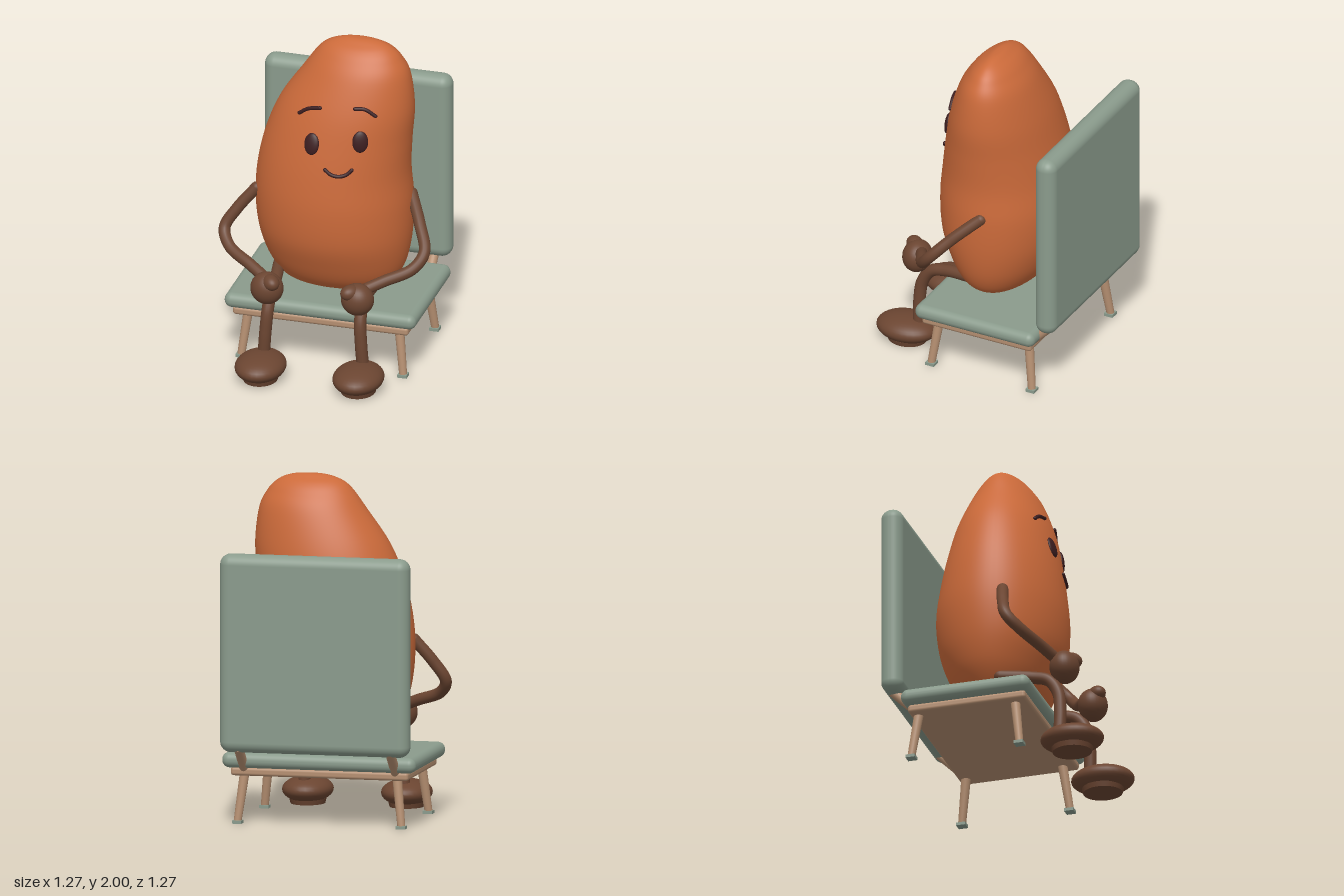
import * as THREE from 'three';
import { RoundedBoxGeometry } from 'three/addons/geometries/RoundedBoxGeometry.js';

const material = (name, color) => {
  const m = new THREE.MeshStandardMaterial({ color });
  m.name = name;
  return m;
};
const V = (x, y, z) => new THREE.Vector3(x, y, z);

// Body sections from top to bottom: y, right side x, left side x, front z, back z
const SECTIONS = [
  [2.0, 0.15, 0.15, -0.08, -0.08],
  [1.997, 0.07, 0.23, -0.05, -0.105],
  [1.98, 0.0, 0.3, -0.015, -0.135],
  [1.95, -0.06, 0.353, 0.03, -0.178],
  [1.9, -0.11, 0.4, 0.075, -0.22],
  [1.8, -0.18, 0.45, 0.137, -0.277],
  [1.6, -0.315, 0.475, 0.215, -0.34],
  [1.4, -0.398, 0.461, 0.265, -0.38],
  [1.2, -0.445, 0.452, 0.3, -0.415],
  [1.0, -0.462, 0.466, 0.317, -0.44],
  [0.8, -0.445, 0.461, 0.3, -0.42],
  [0.64, -0.4, 0.434, 0.24, -0.365],
  [0.53, -0.338, 0.388, 0.178, -0.3],
  [0.47, -0.28, 0.328, 0.11, -0.24],
  [0.43, -0.19, 0.23, 0.02, -0.17],
  [0.413, -0.07, 0.11, -0.045, -0.115],
  [0.41, 0.02, 0.02, -0.08, -0.08],
];
const curveOf = (a, b) => new THREE.CatmullRomCurve3(
  SECTIONS.map((s) => V(s[a], s[0], s[b])), false, 'catmullrom', 0.5);
const frontRight = curveOf(1, 3);
const backLeft = curveOf(2, 4);

// Ellipse of the body at parameter t
function sectionAt(t) {
  const p = frontRight.getPoint(t), q = backLeft.getPoint(t);
  return { y: p.y, cx: (p.x + q.x) / 2, rx: (q.x - p.x) / 2, cz: (p.z + q.z) / 2, rz: (p.z - q.z) / 2 };
}

function bodyGeometry(rows = 96, cols = 72) {
  const pos = [], index = [];
  for (let i = 0; i <= rows; i++) {
    const s = sectionAt(i / rows);
    for (let j = 0; j < cols; j++) {
      const a = (j / cols) * Math.PI * 2;
      pos.push(s.cx + s.rx * Math.cos(a), s.y, s.cz + s.rz * Math.sin(a));
      if (i === rows) continue;
      const k = (j + 1) % cols, r = i * cols, d = r + cols;
      if (i > 0) index.push(r + j, r + k, d + j);
      if (i < rows - 1) index.push(r + k, d + k, d + j);
    }
  }
  const g = new THREE.BufferGeometry();
  g.setAttribute('position', new THREE.Float32BufferAttribute(pos, 3));
  g.setIndex(index);
  g.computeVertexNormals();
  return g;
}

// Point on the front of the body at x, y
function onFace(x, y) {
  let lo = 0, hi = 1;
  for (let i = 0; i < 30; i++) {
    const mid = (lo + hi) / 2;
    if (sectionAt(mid).y > y) lo = mid; else hi = mid;
  }
  const s = sectionAt(lo);
  const u = (x - s.cx) / s.rx;
  return V(x, y, s.cz + s.rz * Math.sqrt(Math.max(0, 1 - u * u)));
}
function faceNormal(x, y) {
  const e = 0.01;
  const dx = onFace(x + e, y).sub(onFace(x - e, y));
  const dy = onFace(x, y + e).sub(onFace(x, y - e));
  return dx.cross(dy).normalize();
}

export function createModel() {
  const skin = material('orange skin', 0xcb6a3a);
  const limb = material('brown limbs', 0x6b4531);
  const dark = material('dark face', 0x3c1e20);
  const cushion = material('sage cushion', 0x8a9b8c);
  const wood = material('tan wood', 0xb58f71);
  const model = new THREE.Group();

  const add = (name, geometry, mat, x = 0, y = 0, z = 0, parent = model) => {
    const m = new THREE.Mesh(geometry, mat);
    m.name = name;
    m.position.set(x, y, z);
    parent.add(m);
    return m;
  };
  const ellipsoid = (name, mat, c, r, parent) => {
    const m = add(name, new THREE.SphereGeometry(1, 32, 20), mat, ...c, parent);
    m.scale.set(...r);
    return m;
  };
  // Round-ended tube through points
  const tube = (name, points, radius, mat, segments = 40) => {
    const g = new THREE.Group();
    g.name = name;
    model.add(g);
    add(name + 'Tube', new THREE.TubeGeometry(new THREE.CatmullRomCurve3(points), segments, radius, 16), mat, 0, 0, 0, g);
    for (const p of [points[0], points[points.length - 1]])
      add(name + 'End', new THREE.SphereGeometry(radius, 16, 12), mat, p.x, p.y, p.z, g);
  };
  // Straight rod between two points
  const rod = (name, from, to, r0, r1, mat) => {
    const d = to.clone().sub(from);
    const m = add(name, new THREE.CylinderGeometry(r1, r0, d.length(), 20), mat);
    m.position.copy(from).addScaledVector(d, 0.5);
    m.quaternion.setFromUnitVectors(V(0, 1, 0), d.normalize());
  };

  // Chair
  add('backrest', new RoundedBoxGeometry(1.125, 1.155, 0.132, 6, 0.062), cushion, -0.002, 1.008, -0.571);
  add('seat', new RoundedBoxGeometry(1.15, 0.09, 0.775, 6, 0.043), cushion, 0, 0.37, -0.122);
  add('seatFrame', new RoundedBoxGeometry(1.055, 0.05, 0.71, 4, 0.018), wood, 0, 0.303, -0.12);
  for (const s of [-1, 1]) {
    for (const [name, topZ, footZ] of [['frontChairLeg', 0.155, 0.19], ['backChairLeg', -0.428, -0.463]]) {
      rod(name, V(s * 0.486, 0.015, footZ), V(s * 0.453, 0.29, topZ), 0.023, 0.028, wood);
      add('legPad', new THREE.BoxGeometry(0.056, 0.018, 0.056), cushion, s * 0.486, 0.009, footZ);
    }
    rod('backSupport', V(s * 0.45, 0.32, -0.45), V(s * 0.45, 0.46, -0.59), 0.028, 0.028, wood);
  }

  // Body
  add('body', bodyGeometry(), skin);

  // Arms, hands, legs and feet
  for (const s of [-1, 1]) {
    const shoulder = s > 0 ? V(0.45, 1.03, -0.11) : V(-0.43, 1.03, 0.07);
    const upper = s > 0 ? V(0.54, 0.905, 0.03) : V(-0.535, 0.9, 0.105);
    tube('arm', [shoulder, upper, V(s * 0.6, 0.785, 0.145), V(s * 0.55, 0.705, 0.215),
      V(s * 0.4, 0.645, 0.3), V(s * 0.28, 0.595, 0.365)], 0.034, limb, 60);
    ellipsoid('hand', limb, [s * 0.272, 0.557, 0.395], [0.097, 0.097, 0.086]);
    const thumb = ellipsoid('thumb', limb, [s * 0.24, 0.61, 0.428], [0.048, 0.046, 0.064]);
    thumb.rotation.y = -s * 0.7;

    tube('leg', [V(s * 0.31, 0.535, 0.015), V(s * 0.28, 0.515, 0.2), V(s * 0.276, 0.485, 0.3),
      V(s * 0.278, 0.4, 0.358), V(s * 0.287, 0.27, 0.374), V(s * 0.298, 0.12, 0.372)], 0.036, limb, 60);
    ellipsoid('foot', limb, [s * 0.294, 0.084, 0.449], [0.147, 0.077, 0.187]);
    const sole = add('sole', new THREE.CylinderGeometry(1, 0.93, 0.03, 36), limb, s * 0.294, 0.015, 0.449);
    sole.scale.set(0.107, 1, 0.124);
  }

  // Face
  for (const [x, y] of [[-0.046, 1.44], [0.236, 1.475]]) {
    const p = onFace(x, y);
    const eye = ellipsoid('eye', dark, [p.x, p.y, p.z], [0.046, 0.065, 0.018]);
    eye.quaternion.setFromUnitVectors(V(0, 0, 1), faceNormal(x, y));
  }
  const line = (name, pts) => tube(name, pts.map(([x, y]) => onFace(x, y).addScaledVector(faceNormal(x, y), 0.004)), 0.011, dark, 24);
  line('rightBrow', [[-0.14, 1.592], [-0.085, 1.628], [-0.012, 1.646]]);
  line('leftBrow', [[0.195, 1.666], [0.25, 1.664], [0.31, 1.624]]);
  line('mouth', [[0.045, 1.303], [0.08, 1.277], [0.122, 1.268], [0.165, 1.279], [0.196, 1.308]]);

  return model;
}
